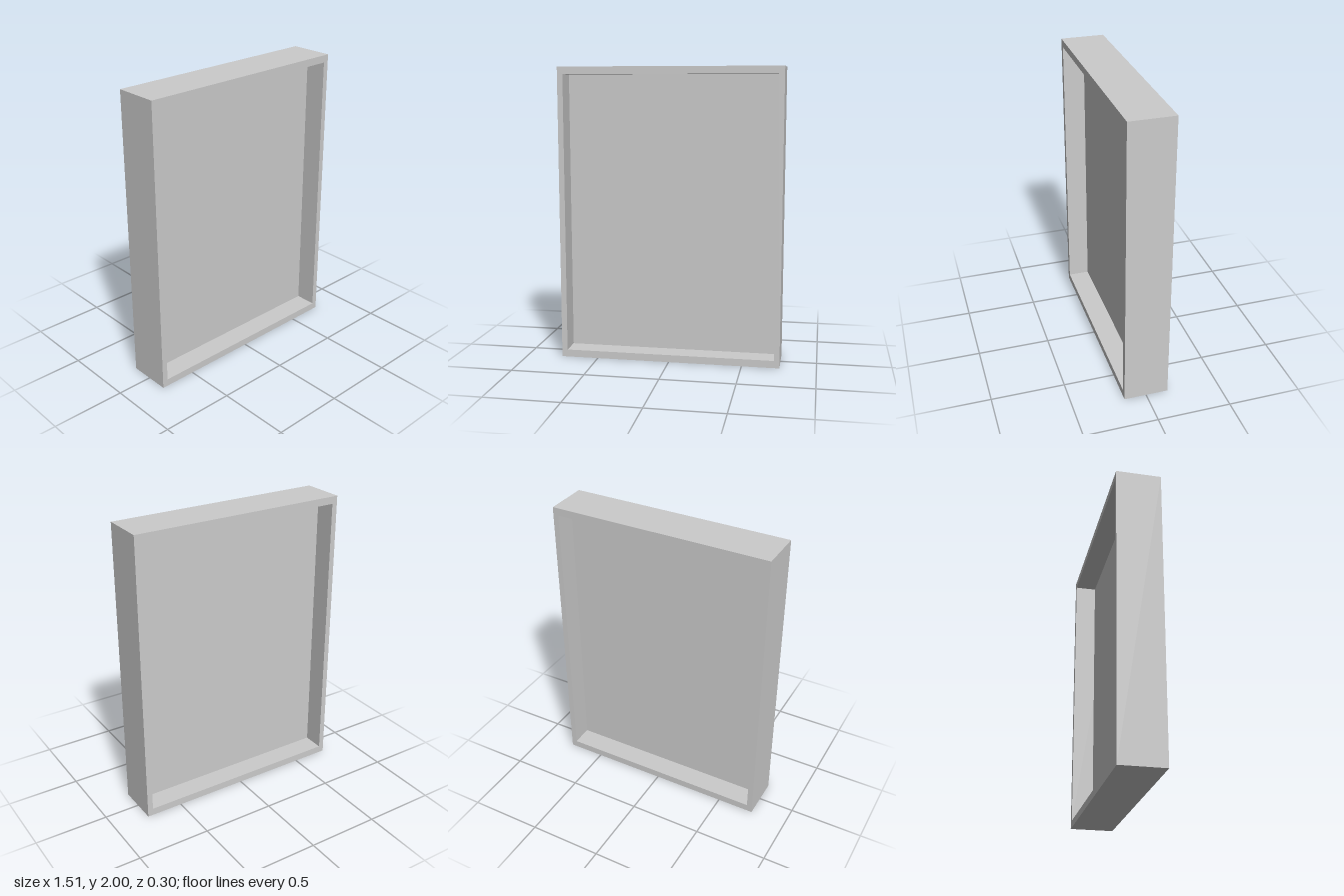
import * as THREE from 'three';

const W = 1.51, H = 2, D = 0.302;     // outer size
const IW = 1.434, IH = 1.9;           // opening size

// Rectangle centred on x = 0, y = H / 2
function rectangle(path, w, h) {
  path.moveTo(-w / 2, (H - h) / 2);
  path.lineTo(w / 2, (H - h) / 2);
  path.lineTo(w / 2, (H + h) / 2);
  path.lineTo(-w / 2, (H + h) / 2);
  path.closePath();
  return path;
}

export function createModel() {
  const group = new THREE.Group();
  const material = new THREE.MeshStandardMaterial({ color: 0xcccccc });

  // Deep rectangular frame, open to front and back
  const outline = rectangle(new THREE.Shape(), W, H);
  outline.holes.push(rectangle(new THREE.Path(), IW, IH));
  const frameGeometry = new THREE.ExtrudeGeometry(outline, { depth: D, bevelEnabled: false });
  frameGeometry.translate(0, 0, -D / 2);
  const frame = new THREE.Mesh(frameGeometry, material);
  frame.name = 'frame';
  group.add(frame);

  // Thin panel halfway through the frame, recessed on both sides
  const panel = new THREE.Mesh(new THREE.BoxGeometry(IW, IH, 0.004), material);
  panel.name = 'panel';
  panel.position.y = H / 2;
  group.add(panel);

  return group;
}
